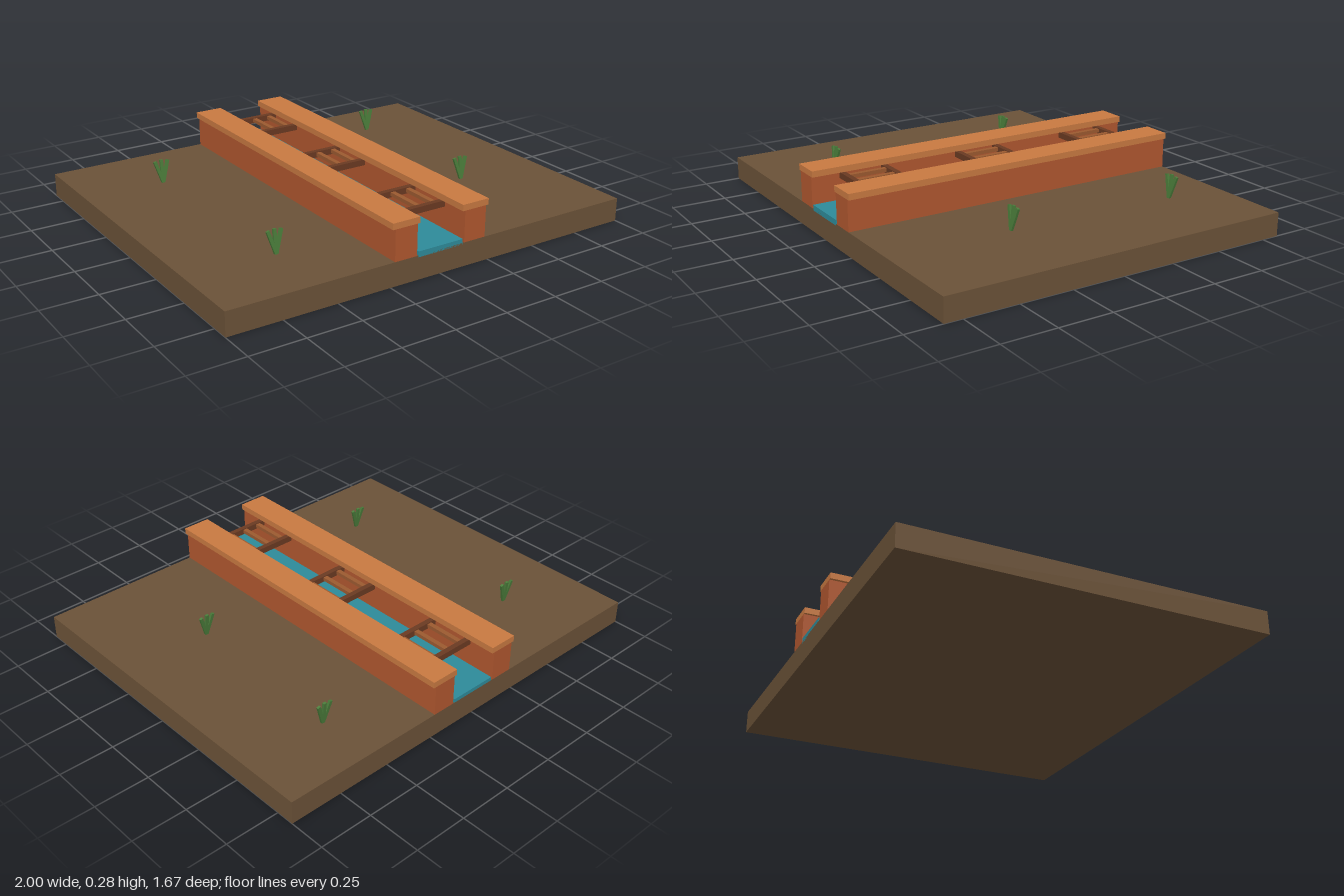
import * as THREE from 'three';

const mat = (color) => new THREE.MeshStandardMaterial({ color, flatShading: true });
const soil = mat(0x6b5238), brick = mat(0xb0572f), coping = mat(0xc87941);
const waterBlue = mat(0x2e8b9a), darkWood = mat(0x6b3a22), lightWood = mat(0x9c5a30), green = mat(0x4a7c3a);

// Box given by its extents along each axis
function box(name, material, [x0, x1], [y0, y1], [z0, z1]) {
  const mesh = new THREE.Mesh(new THREE.BoxGeometry(x1 - x0, y1 - y0, z1 - z0), material);
  mesh.position.set((x0 + x1) / 2, (y0 + y1) / 2, (z0 + z1) / 2);
  mesh.name = name;
  return mesh;
}

// Ladder-like grate spanning the channel
function createGrate(z) {
  const grate = new THREE.Group();
  grate.name = 'grate';
  for (const s of [-1, 1]) {
    const c = s * 0.102;
    grate.add(box('grateBeam', darkWood, [-0.122, 0.122], [0.222, 0.25], [c - 0.012, c + 0.012]));
  }
  for (const x of [-0.08, 0, 0.08]) {
    grate.add(box('grateSlat', lightWood, [x - 0.011, x + 0.011], [0.229, 0.246], [-0.1, 0.1]));
  }
  grate.position.z = z;
  return grate;
}

// Three blades fanned out from one root, all leaning slightly back
function createGrass(x, z) {
  const tuft = new THREE.Group();
  tuft.name = 'grassTuft';
  const height = 0.108;
  for (const lean of [-0.3, 0, 0.3]) {
    const geometry = new THREE.BoxGeometry(0.015, height, 0.011);
    geometry.translate(0, height / 2, 0);
    const blade = new THREE.Mesh(geometry, green);
    blade.name = 'grassBlade';
    blade.rotation.set(-0.12, 0, lean);
    tuft.add(blade);
  }
  tuft.position.set(x, 0.108, z);
  return tuft;
}

export function createModel() {
  const model = new THREE.Group();
  model.name = 'irrigationChannel';
  const length = [-0.833, 0.833];

  model.add(box('ground', soil, [-1, 1], [0, 0.108], length));
  model.add(box('water', waterBlue, [-0.113, 0.113], [0.1, 0.126], length));

  // Channel walls with overhanging coping
  for (const s of [-1, 1]) {
    const span = (a, b) => (s > 0 ? [a, b] : [-b, -a]);
    model.add(box('channelWall', brick, span(0.121, 0.23), [0.108, 0.25], length));
    model.add(box('wallCoping', coping, span(0.109, 0.243), [0.25, 0.278], length));
  }

  for (const z of [-0.585, 0, 0.585]) model.add(createGrate(z));

  const tufts = [[0.6, -0.56], [-0.617, -0.46], [0.567, 0.256], [-0.585, 0.506]];
  for (const [x, z] of tufts) model.add(createGrass(x, z));

  return model;
}
